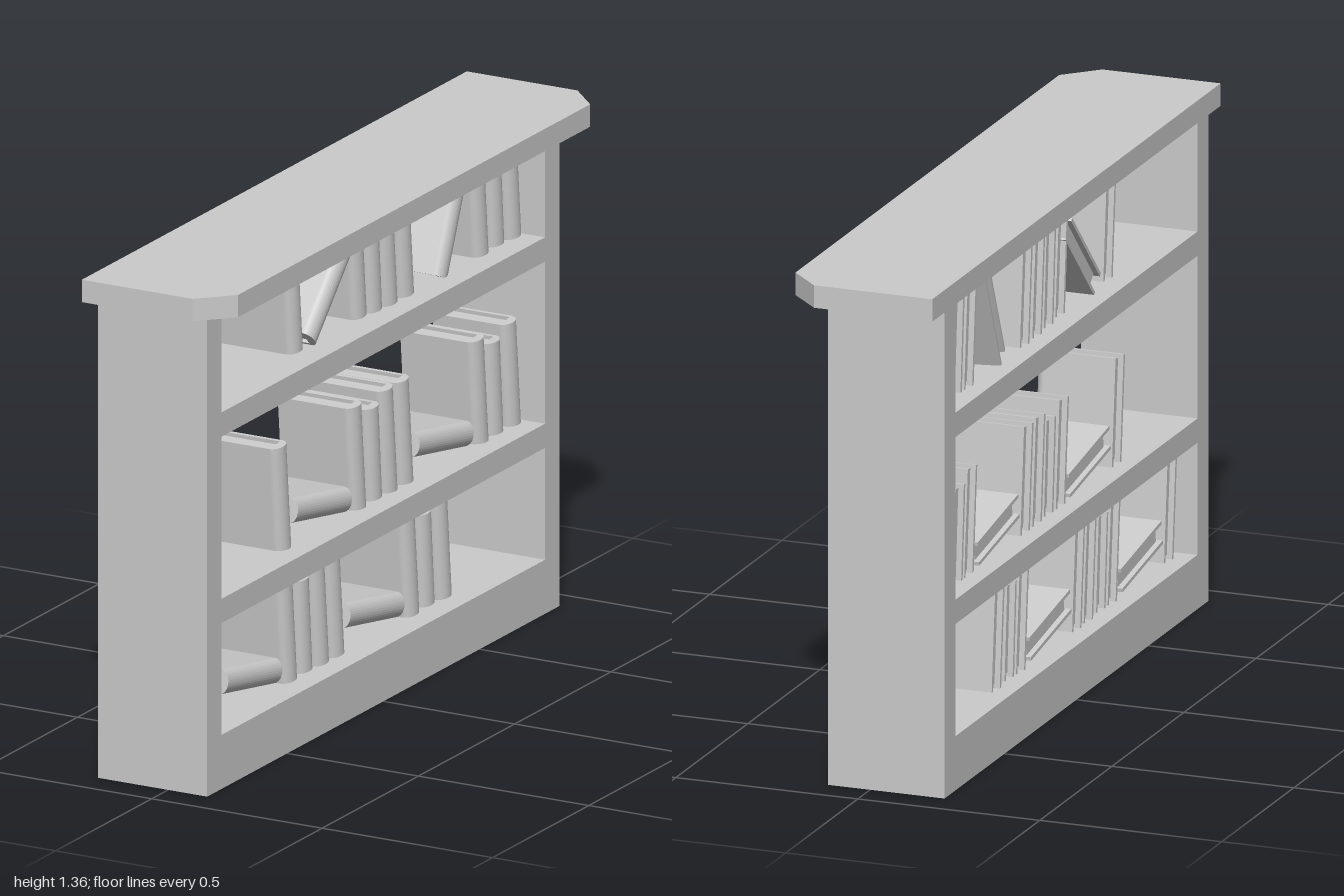
import * as THREE from 'three';
import { ConvexGeometry } from 'three/addons/geometries/ConvexGeometry.js';

const material = new THREE.MeshStandardMaterial({ color: 0xcccccc, flatShading: true });

function addMesh(parent, name, geometry) {
  const mesh = new THREE.Mesh(geometry, material);
  mesh.name = name;
  parent.add(mesh);
  return mesh;
}

// box given by its limits on each axis
function addBox(parent, name, [x0, x1], [y0, y1], [z0, z1]) {
  const mesh = addMesh(parent, name, new THREE.BoxGeometry(x1 - x0, y1 - y0, z1 - z0));
  mesh.position.set((x0 + x1) / 2, (y0 + y1) / 2, (z0 + z1) / 2);
}

// hardback book, centred, with its rounded spine towards +x
const THICK = 0.066, BOARD = 0.01;
function createBook(height) {
  const book = new THREE.Group();
  book.name = 'book';
  const t = THICK / 2, i = t - BOARD;
  const s = new THREE.Shape();
  s.moveTo(-0.11, -t);
  s.lineTo(0.085, -t);
  s.absellipse(0.085, 0, 0.025, t, -Math.PI / 2, Math.PI / 2, false);
  s.lineTo(-0.11, t);
  s.lineTo(-0.11, i);
  s.lineTo(0.085, i);
  s.lineTo(0.085, -i);
  s.lineTo(-0.11, -i);
  s.closePath();
  const cover = new THREE.ExtrudeGeometry(s, { depth: height, bevelEnabled: false, curveSegments: 8 });
  cover.translate(0, 0, -height / 2).rotateX(-Math.PI / 2);
  addMesh(book, 'bookCover', cover);
  addBox(book, 'bookPages', [-0.095, 0.086], [-height / 2 + 0.01, height / 2 - 0.01], [-i, i]);
  return book;
}

export function createModel() {
  const model = new THREE.Group();
  model.name = 'bookshelf';
  const depth = [-0.205, 0.115];

  // side panels with a small cut at the upper front corner
  for (const side of [1, -1]) {
    const points = [];
    for (const x of depth) for (const y of [0, 1.3]) for (const z of [0.84, 0.915]) {
      if (x > 0 && y > 1 && z > 0.9) continue;
      points.push(new THREE.Vector3(x, y, z * side));
    }
    for (const [x, y, z] of [[0.085, 1.3, 0.915], [0.115, 1.28, 0.915], [0.115, 1.3, 0.885]]) {
      points.push(new THREE.Vector3(x, y, Math.max(0.84, z) * side));
    }
    addMesh(model, side > 0 ? 'sidePanelFront' : 'sidePanelBack', new ConvexGeometry(points));
  }

  // plinth and shelves
  addBox(model, 'plinth', depth, [0, 0.145], [-0.84, 0.84]);
  addBox(model, 'lowerShelf', depth, [0.445, 0.51], [-0.84, 0.84]);
  addBox(model, 'upperShelf', depth, [0.945, 1.01], [-0.84, 0.84]);

  // overhanging top with clipped corners
  const outline = [[-0.205, -1], [0.12, -1], [0.205, -0.915], [0.205, 0.915], [0.12, 1], [-0.205, 1]];
  const top = new THREE.ExtrudeGeometry(
    new THREE.Shape(outline.map(([x, y]) => new THREE.Vector2(x, y))),
    { depth: 0.06, bevelEnabled: false });
  top.rotateX(-Math.PI / 2).translate(0, 1.3, 0);
  addMesh(model, 'topBoard', top);

  // books: each row lists z of tall and short standing books, and [z, y, tilt, yaw] of leaning ones
  const TALL = 0.285, SHORT = 0.252;
  const rows = [
    { y: 0.29, tall: [0.767, 0.375, 0.209, 0.129, -0.26, -0.429], short: [0.292, -0.343],
      leaning: [[0.568, 0.214, 1.4, 0], [-0.067, 0.214, 1.4, 0]] },
    { y: 0.651, tall: [0.405, 0.016, -0.147, -0.23, -0.62, -0.788], short: [-0.07, -0.7],
      leaning: [[0.206, 0.572, 1.4, 0], [-0.426, 0.572, 1.4, 0]] },
    { y: 1.155, tall: [-0.147, -0.233, -0.62, -0.79], short: [-0.07, -0.705],
      leaning: [[0.345, 1.165, 0.09, 0], [0.013, 1.165, 0.09, 0],
        [0.16, 1.134, -0.77, 0], [-0.465, 1.146, -0.4, 0.19]] },
  ];
  const place = (height, z, y, tilt, yaw = 0) => {
    const book = createBook(height);
    book.position.set(-0.05, y, z);
    book.rotation.set(tilt, yaw, 0);
    model.add(book);
  };
  for (const row of rows) {
    for (const z of row.tall) place(TALL, z, row.y, 0.09);
    for (const z of row.short) place(SHORT, z, row.y - 0.012, 0.075);
    for (const [z, y, tilt, yaw] of row.leaning) place(TALL, z, y, tilt, yaw);
  }
  return model;
}
